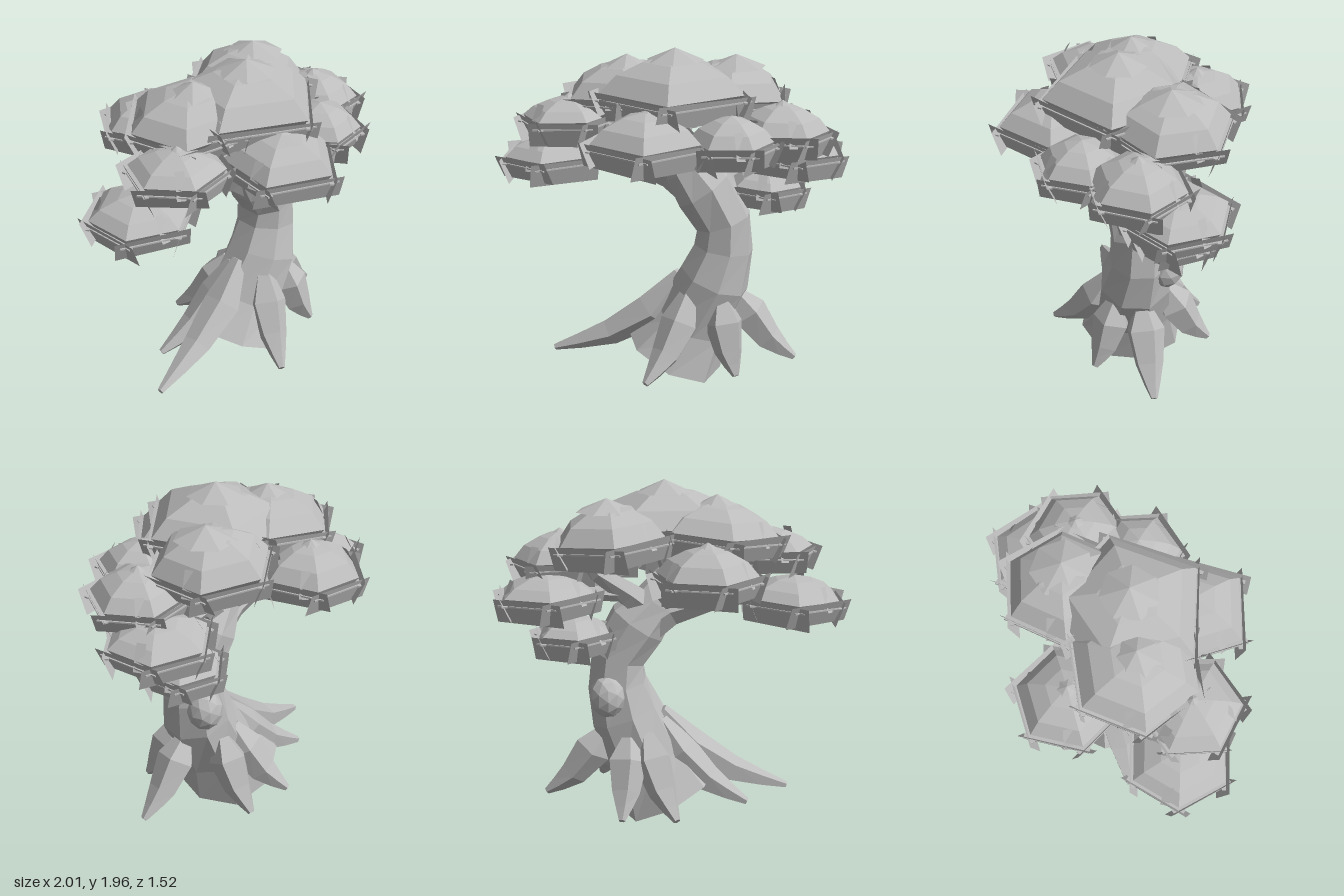
import * as THREE from 'three';

const grey = new THREE.MeshStandardMaterial({ color: 0xbcbcbc, flatShading: true, side: THREE.DoubleSide });
grey.name = 'pale grey';

function add(parent, name, geometry) {
  const mesh = new THREE.Mesh(geometry, grey);
  mesh.name = name;
  parent.add(mesh);
  return mesh;
}

// Faceted limb through points [x, y, z, radius], closed at both ends
function limb(points, sides, ref, twist = 0) {
  const centres = points.map(p => new THREE.Vector3(p[0], p[1], p[2]));
  const pos = [], idx = [], n = points.length;
  centres.forEach((c, i) => {
    const t = centres[Math.min(i + 1, n - 1)].clone().sub(centres[Math.max(i - 1, 0)]).normalize();
    const a = ref.clone().cross(t).normalize(), b = t.clone().cross(a);
    for (let j = 0; j < sides; j++) {
      const w = (j / sides) * Math.PI * 2 + twist * i;
      const v = c.clone().addScaledVector(a, Math.cos(w) * points[i][3]).addScaledVector(b, Math.sin(w) * points[i][3]);
      pos.push(v.x, Math.max(0, v.y), v.z);
    }
  });
  for (let i = 0; i < n - 1; i++) for (let j = 0; j < sides; j++) {
    const k = (j + 1) % sides, p = i * sides, q = p + sides;
    idx.push(p + j, p + k, q + k, p + j, q + k, q + j);
  }
  const last = (n - 1) * sides;
  for (let j = 1; j < sides - 1; j++) idx.push(0, j + 1, j, last, last + j, last + j + 1);
  const g = new THREE.BufferGeometry();
  g.setAttribute('position', new THREE.Float32BufferAttribute(pos, 3));
  g.setIndex(idx);
  g.computeVertexNormals();
  return g;
}

// Foliage: faceted dome with a bulging underside and rim panels that cross in star points
function foliage(name, x, y, z, r, top, sides, turn, tilt = 0) {
  const g = new THREE.Group();
  g.name = name;
  g.position.set(x, y, z);
  g.rotation.set(0, turn, tilt);
  const h = top - y, V = (a, b) => new THREE.Vector2(a, b);
  add(g, 'leafDome', new THREE.LatheGeometry([
    V(0, -0.13), V(r * 0.5, -0.11), V(r * 0.84, -0.04), V(r * 0.96, 0.015),
    V(r * 0.74, h * 0.52), V(r * 0.4, h * 0.82), V(0, h)], sides));
  const apothem = r * Math.cos(Math.PI / sides), width = 2 * r * Math.sin(Math.PI / sides);
  for (let i = 0; i < sides; i++) {
    const side = new THREE.Group();
    side.name = 'rimSide';
    side.rotation.y = ((i + 0.5) / sides) * Math.PI * 2;
    g.add(side);
    // Alternate panels sit slightly higher and lean further
    const odd = i % 2;
    const panel = add(side, 'leafPanel', new THREE.PlaneGeometry(width + 0.11, 0.145));
    panel.position.set(0, -0.055 + odd * 0.012, apothem * 0.95);
    panel.rotation.set(0.32 + odd * 0.08, 0, odd ? 0.04 : -0.03);
    const rim = add(side, 'rimStrip', new THREE.BoxGeometry(width + 0.06, 0.008, 0.03));
    rim.position.set(0, -0.02, apothem * 0.97);
    if (odd) {
      const card = add(side, 'leafCard', new THREE.PlaneGeometry(0.05, 0.15));
      card.position.set(width * 0.2, 0.03, apothem * 0.9);
      card.rotation.set(-0.5, 0.4, 0.12);
    }
  }
  return g;
}

export function createModel() {
  const tree = new THREE.Group();
  tree.name = 'tree';
  const up = new THREE.Vector3(0, 1, 0), front = new THREE.Vector3(0, 0, 1);

  // Leaning trunk, flared at the foot
  add(tree, 'trunk', limb([
    [0.02, 0.105, -0.02, 0.315], [0.13, 0.32, -0.01, 0.23], [0.26, 0.6, 0.02, 0.21],
    [0.31, 0.79, 0.01, 0.175], [0.305, 0.95, 0.01, 0.165], [0.19, 1.14, 0.01, 0.175],
    [0.08, 1.27, 0.01, 0.13], [0.0, 1.42, 0.02, 0.08]], 8, front, 0.08));
  const knot = add(tree, 'trunkKnot', new THREE.IcosahedronGeometry(0.11, 1));
  knot.position.set(0.37, 0.745, -0.128);
  knot.scale.set(0.95, 1.12, 0.95);

  // Roots: tip x, tip z, height of the top end
  const reach = [0, 0.22, 0.55, 0.8, 1], drop = [0, 0.38, 0.225, 0.155, 0.105], thick = [0.045, 0.115, 0.085, 0.05, 0.02];
  for (const [tx, tz, y] of [[-0.7, 0, 0.61], [-0.43, -0.22, 0.57], [-0.11, 0.44, 0.56], [0.4, 0.3, 0.52],
    [0.74, 0.03, 0.5], [0.31, -0.42, 0.5], [0, -0.45, 0.52]]) {
    const d = Math.hypot(tx - 0.22, tz), sx = 0.22 + (tx - 0.22) / d * 0.16, sz = tz / d * 0.16;
    add(tree, 'root', limb(reach.map((f, i) =>
      [sx + (tx - sx) * f, i ? drop[i] : y, sz + (tz - sz) * f, thick[i]]), 5, up));
  }

  // Branches to the foliage
  for (const b of [
    [[0.2, 1.1, 0, 0.13], [0, 1.23, -0.02, 0.1], [-0.25, 1.3, -0.06, 0.07], [-0.55, 1.34, -0.1, 0.045]],
    [[0.12, 1.22, 0, 0.1], [0.25, 1.33, -0.04, 0.075], [0.42, 1.46, -0.1, 0.05], [0.5, 1.56, -0.1, 0.035]],
    [[0.32, 0.98, -0.02, 0.07], [0.44, 1.06, -0.08, 0.05], [0.56, 1.1, -0.12, 0.03]],
    [[0.25, 1.33, -0.05, 0.05], [0.5, 1.35, -0.1, 0.04], [0.7, 1.36, -0.12, 0.03]],
    [[0.05, 1.28, 0, 0.09], [-0.08, 1.4, -0.22, 0.06], [-0.18, 1.5, -0.45, 0.04]],
    [[0.04, 1.28, 0.02, 0.08], [-0.03, 1.4, 0.2, 0.06], [-0.09, 1.5, 0.38, 0.04]],
    [[0, 1.3, 0, 0.08], [-0.25, 1.43, 0.02, 0.055], [-0.52, 1.55, 0.07, 0.04]]
  ]) add(tree, 'branch', limb(b, 6, up));

  // Foliage tiers: x, rim y, z, radius, top y, sides, turn, tilt
  const tiers = [
    ['farLeftFoliage', -0.69, 1.3, -0.09, 0.29, 1.43, 6, -0.07, 0.03],
    ['leftFoliage', -0.56, 1.56, 0.06, 0.27, 1.68, 6, -0.52, 0.03],
    ['frontFoliage', -0.1, 1.51, 0.39, 0.32, 1.68, 5, 0.05],
    ['frontRightFoliage', 0.35, 1.5, 0.33, 0.24, 1.65, 6, 0.52],
    ['rightFoliage', 0.62, 1.51, 0.1, 0.27, 1.67, 6, 0.52, -0.04],
    ['farRightFoliage', 0.69, 1.35, -0.09, 0.29, 1.47, 6, 0.07, -0.03],
    ['lowFoliage', 0.55, 1.13, -0.13, 0.22, 1.23, 6, 0.1, -0.02],
    ['backFoliage', -0.16, 1.51, -0.44, 0.29, 1.68, 6, 0.24],
    ['crownFoliage', 0.02, 1.71, 0.06, 0.43, 1.92, 5, 0],
    ['upperLeftFoliage', -0.26, 1.68, -0.09, 0.36, 1.86, 6, 0.1, 0.08],
    ['upperRightFoliage', 0.33, 1.66, -0.15, 0.34, 1.86, 6, 0, -0.08]];
  for (const t of tiers) tree.add(foliage(...t));

  // Small peaked caps over the upper tiers: x, y, z, radius
  for (const [x, y, z, r] of [
    [0.03, 1.92, 0.06, 0.16], [-0.25, 1.855, -0.08, 0.14], [0.36, 1.85, -0.14, 0.17], [-0.09, 1.66, 0.38, 0.12],
    [-0.56, 1.66, 0.06, 0.1], [0.62, 1.65, 0.1, 0.11], [-0.16, 1.66, -0.44, 0.12]])
    add(tree, 'leafCap', new THREE.ConeGeometry(r, 0.07, 7)).position.set(x, y, z);
  return tree;
}
